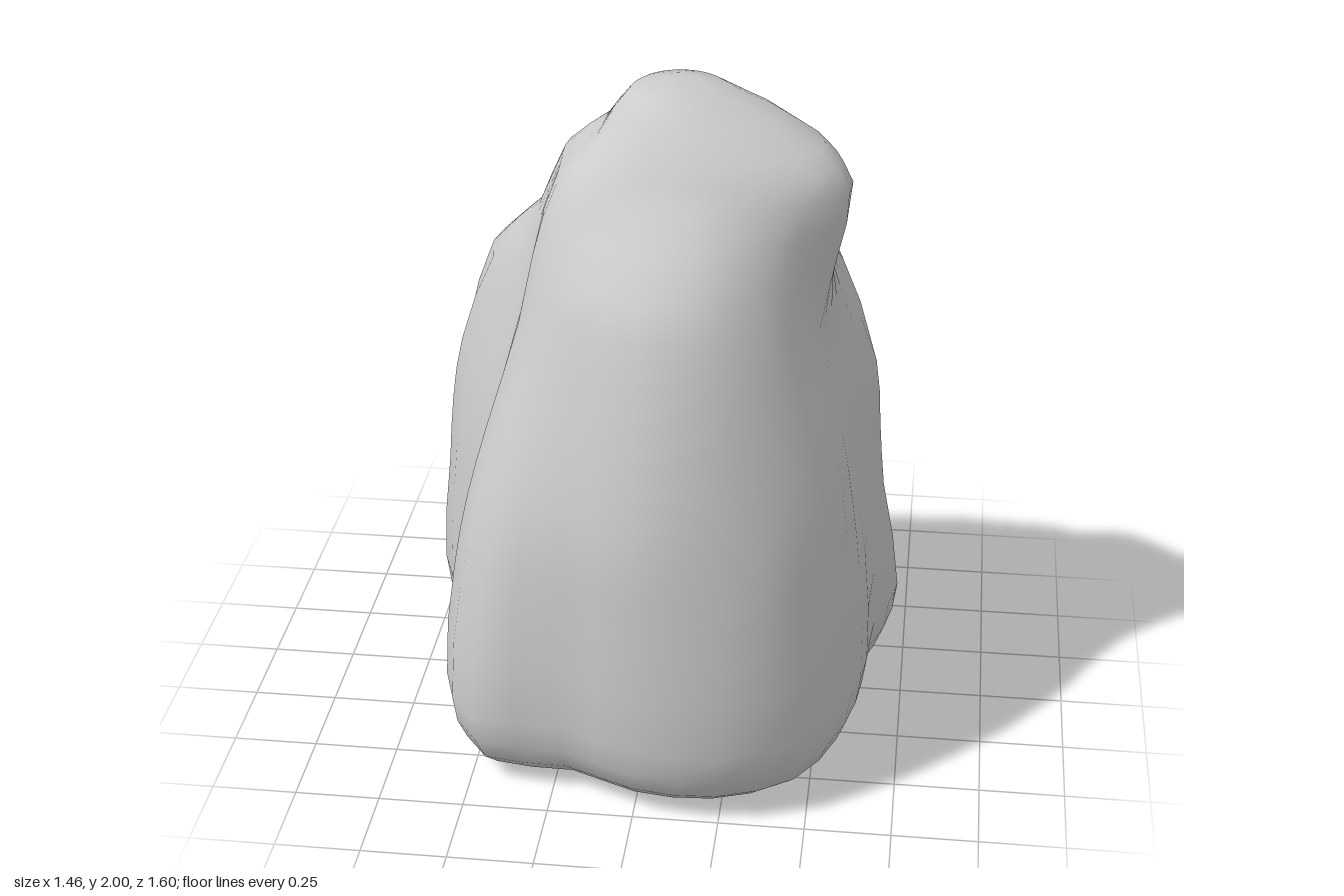
import * as THREE from 'three';

// Outline of the boulder at rising heights: radius at 20 even angles,
// starting at the front (+z) and turning towards +x.
const SECTIONS = [
  [0.25, [.78, .83, .83, .75, .68, .66, .76, .73, .85, .82, .76, .45, .56, .82, .77, .63, .61, .74, .82, .72]],
  [0.62, [.78, .81, .80, .73, .66, .63, .70, .68, .78, .75, .66, .47, .59, .79, .74, .61, .56, .70, .77, .71]],
  [0.84, [.77, .78, .77, .71, .62, .60, .68, .69, .70, .66, .54, .49, .60, .78, .72, .58, .53, .65, .72, .70]],
  [1.05, [.73, .74, .72, .67, .58, .58, .66, .69, .62, .54, .51, .51, .60, .74, .68, .53, .49, .58, .65, .66]],
  [1.35, [.65, .66, .62, .56, .51, .51, .54, .61, .55, .48, .47, .48, .56, .66, .56, .43, .41, .47, .53, .58]],
  [1.55, [.57, .57, .53, .52, .54, .49, .45, .45, .38, .30, .28, .30, .37, .43, .40, .36, .36, .42, .46, .52]],
  [1.75, [.35, .38, .43, .50, .57, .52, .41, .35, .28, .22, .20, .23, .28, .33, .31, .29, .30, .34, .36, .35]],
];
const SPOKES = 20;
const ROW_STEPS = 2; // rows between neighbouring sections
const RING = 40;     // vertices around each row

// Vertical profile curve along one spoke, from the base centre to the crown
function spokeCurve(k) {
  const a = (k / SPOKES) * Math.PI * 2;
  const sin = Math.sin(a), cos = Math.cos(a);
  const at = (r, y) => new THREE.Vector3(r * sin, y, r * cos);
  const foot = SECTIONS[0][1][k];
  const head = SECTIONS[SECTIONS.length - 1][1][k];
  const crown = 0.13 + 0.05 * sin + 0.025 * cos;
  const shoulder = THREE.MathUtils.lerp(crown, head, 0.6 + 0.17 * sin);
  const lift = Math.max(0, 0.6 - foot) * 0.4; // raises the hollow between the feet
  return new THREE.CatmullRomCurve3([
    // rounded underside
    at(0, 0.03), at(foot * 0.5, 0.01 + lift), at(foot * 0.8, 0.02 + lift), at(foot * 0.94, 0.09 + lift),
    // lobed flanks
    ...SECTIONS.map(([y, radii]) => at(radii[k], y)),
    // sloping shoulders and blunt crown
    at(shoulder, 1.86), at(crown, 1.985),
    new THREE.Vector3(0.05, 2, 0.03),
  ]);
}

function boulderGeometry() {
  const spokes = Array.from({ length: SPOKES }, (_, k) => spokeCurve(k));
  const rows = (spokes[0].points.length - 1) * ROW_STEPS;
  const positions = [], index = [];
  for (let i = 0; i <= rows; i++) {
    const ring = spokes.map((curve) => curve.getPoint(i / rows));
    const loop = new THREE.CatmullRomCurve3(ring, true, 'catmullrom', 0.5);
    for (let j = 0; j < RING; j++) {
      const p = loop.getPoint(j / RING);
      positions.push(p.x, THREE.MathUtils.clamp(p.y, 0, 2), p.z);
    }
  }
  for (let i = 0; i < rows; i++) {
    for (let j = 0; j < RING; j++) {
      const a = i * RING + j, b = i * RING + ((j + 1) % RING);
      const c = b + RING, d = a + RING;
      if (i > 0) index.push(a, b, c);
      if (i < rows - 1) index.push(a, c, d);
    }
  }
  const geometry = new THREE.BufferGeometry();
  geometry.setAttribute('position', new THREE.Float32BufferAttribute(positions, 3));
  geometry.setIndex(index);
  geometry.computeVertexNormals();
  return geometry;
}

export function createModel() {
  const group = new THREE.Group();
  group.name = 'rock';
  const boulder = new THREE.Mesh(
    boulderGeometry(),
    new THREE.MeshStandardMaterial({ color: 0xcccccc }),
  );
  boulder.name = 'boulder';
  group.add(boulder);
  return group;
}
